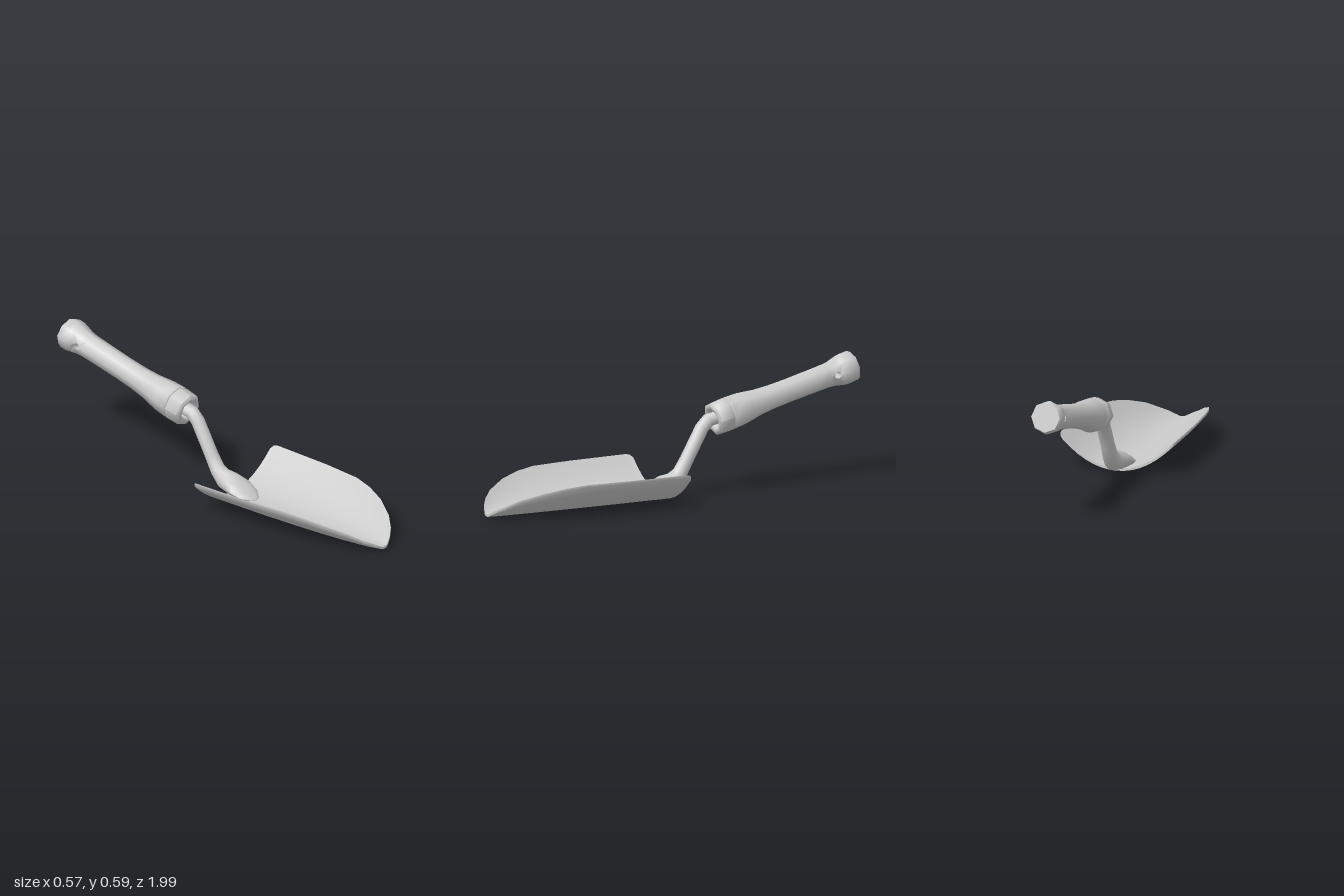
import * as THREE from 'three';
import { toCreasedNormals } from 'three/addons/utils/BufferGeometryUtils.js';

const material = new THREE.MeshStandardMaterial({ color: 0xcccccc });

// Adds a four-cornered face, corners counter-clockwise
function quad(out, a, b, c, d) {
  for (const p of [a, b, c, a, c, d]) out.push(...p);
}

// Skins closed rings that run from +x over the top, each further towards -z
function loft(out, rings, skip = () => false) {
  for (let i = 0; i < rings.length - 1; i++) {
    const A = rings[i], B = rings[i + 1], n = A.length;
    for (let j = 0; j < n; j++) {
      const k = (j + 1) % n;
      if (!skip(i, j)) quad(out, A[j], B[j], B[k], A[k]);
    }
  }
  return out;
}

function makeMesh(name, positions, crease) {
  const geometry = new THREE.BufferGeometry();
  geometry.setAttribute('position', new THREE.Float32BufferAttribute(positions, 3));
  const mesh = new THREE.Mesh(toCreasedNormals(geometry, crease), material);
  mesh.name = name;
  return mesh;
}

// Curved scoop with a rounded point and a thin closed rim
function makeBlade() {
  const rows = [ // z, half width, rim height
    [0.998, 0.02, 0.005], [0.98, 0.06, 0.028], [0.95, 0.1, 0.05], [0.9, 0.143, 0.08],
    [0.8, 0.2, 0.114], [0.7, 0.235, 0.135], [0.6, 0.257, 0.146], [0.4, 0.275, 0.147],
    [0.08, 0.285, 0.147], [0.06, 0.28, 0.142], [0.05, 0.267, 0.13],
  ];
  const steps = 14, thickness = 0.012;
  const ring = ([z, w, h], thick) => {
    const points = [];
    const add = (i, lift) => {
      const t = 1 - (2 * i) / steps;
      const y = 0.002 + 0.007 * Math.max(z, 0) + h * Math.abs(t) ** 2.1;
      points.push([w * t, y + lift, z]);
    };
    for (let i = 0; i <= steps; i++) add(i, thickness / 2 + thick / 2);
    for (let i = steps; i >= 0; i--) add(i, thickness / 2 - thick / 2);
    return points;
  };
  const rings = rows.map((r) => ring(r, thickness));
  rings.unshift(ring(rows[0], 0));
  rings.push(ring(rows[rows.length - 1], 0));
  return makeMesh('blade', loft([], rings), 0.9);
}

// Cranked neck, flattened and flared where it joins the blade
function makeNeck() {
  const sections = [ // z, y, half width, half height, tilt in degrees
    [0.2, 0.016, 0, 0, 0], [0.195, 0.017, 0.025, 0.005, 0], [0.15, 0.03, 0.062, 0.02, 0],
    [0.1, 0.045, 0.072, 0.036, 0], [0.05, 0.057, 0.06, 0.049, 0], [0, 0.066, 0.046, 0.048, 12],
    [-0.042, 0.102, 0.037, 0.037, 42], [-0.08, 0.165, 0.034, 0.032, 60],
    [-0.165, 0.312, 0.034, 0.032, 56], [-0.2, 0.345, 0.034, 0.032, 30],
    [-0.28, 0.359, 0.034, 0.03, 13], [-0.28, 0.359, 0, 0, 13],
  ];
  const sides = 12;
  const rings = sections.map(([z, y, rx, ry, tilt]) => {
    const a = THREE.MathUtils.degToRad(tilt);
    return Array.from({ length: sides }, (_, j) => {
      const p = (j / sides) * Math.PI * 2, v = ry * Math.sin(p);
      return [rx * Math.cos(p), y + v * Math.cos(a), z + v * Math.sin(a)];
    });
  });
  return makeMesh('neck', loft([], rings), 0.9);
}

// Eight-sided turned grip with a recessed collar and a cross-drilled hanging hole
function makeHandle() {
  const profile = [ // distance along the grip, radius
    [0.04, 0], [0.035, 0.042], [0.006, 0.046], [0, 0.056], [0, 0.072], [0.008, 0.08],
    [0.078, 0.083], [0.082, 0.078], [0.086, 0.083], [0.15, 0.08], [0.19, 0.074], [0.24, 0.066],
    [0.32, 0.06], [0.42, 0.058], [0.55, 0.059], [0.63, 0.06], [0.665, 0.063], [0.7, 0.072],
    [0.725, 0.078], [0.76, 0.078], [0.779, 0.07], [0.779, 0],
  ];
  const sides = 8, hole = 16, holeRadius = 0.017;
  const rings = profile.map(([s, r]) => Array.from({ length: sides }, (_, j) => {
    const p = (j / sides) * Math.PI * 2;
    return [r * Math.cos(p), r * Math.sin(p), -s];
  }));
  const nearHole = (i, j) => (i === hole - 1 || i === hole) && [7, 0, 3, 4].includes(j);
  const out = loft([], rings, nearHole);

  // Bridge the opening on both sides to a round edge, then line the hole
  const around = [[-1, 7], [-1, 0], [-1, 1], [0, 1], [1, 1], [1, 0], [1, 7], [0, 7]];
  const edge = around.map(([di, j]) => rings[hole + di][j]);
  const rim = around.map(([di, j]) => {
    const dj = j === 7 ? -1 : j, length = Math.hypot(di, dj);
    const [s, r] = profile[hole];
    return [r * 0.9, (holeRadius * dj) / length, -s - (holeRadius * di) / length];
  });
  const flip = ([x, y, z]) => [-x, y, z];
  for (let i = 0; i < 8; i++) {
    const k = (i + 1) % 8;
    const face = [edge[i], rim[i], rim[k], edge[k]];
    quad(out, ...face);
    quad(out, ...face.map(flip).reverse());
    quad(out, rim[i], flip(rim[i]), flip(rim[k]), rim[k]);
  }
  const handle = makeMesh('handle', out, 0.9);
  handle.position.set(0, 0.345, -0.2225);
  handle.rotation.x = 0.233;
  return handle;
}

export function createModel() {
  const model = new THREE.Group();
  model.name = 'handTrowel';
  model.add(makeBlade(), makeNeck(), makeHandle());
  return model;
}
